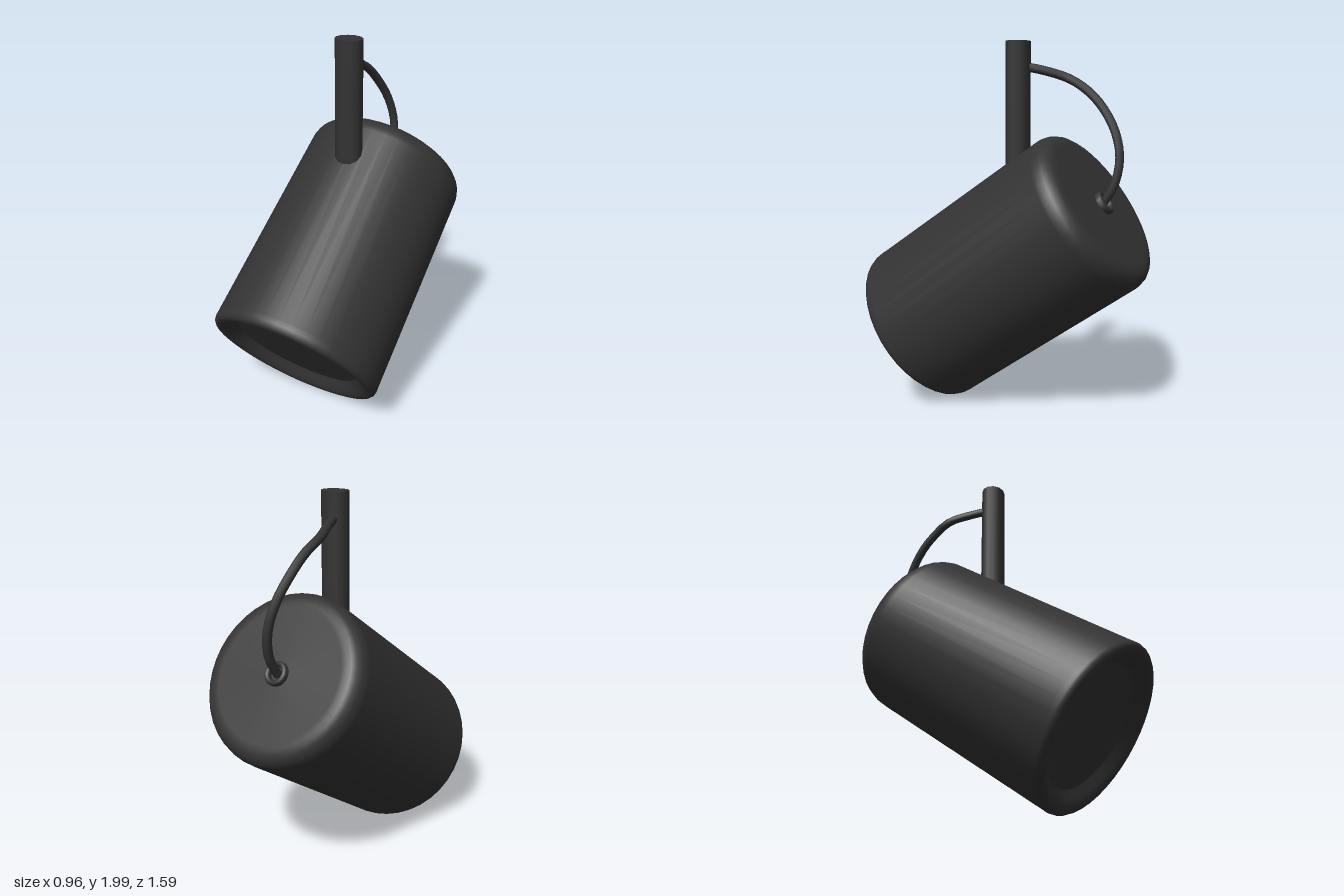
import * as THREE from 'three';

const material = new THREE.MeshStandardMaterial({ color: 0x333333 });

// Surface of revolution around local y from [radius, height] pairs
function lathe(name, profile, segments = 40) {
  const points = profile.map(([r, h]) => new THREE.Vector2(r, h));
  const mesh = new THREE.Mesh(new THREE.LatheGeometry(points, segments), material);
  mesh.name = name;
  return mesh;
}

export function createModel() {
  const model = new THREE.Group();
  model.name = 'spotlight';

  // Lamp head: built upright with its opening at the bottom, then tilted
  const head = new THREE.Group();
  head.name = 'lampHead';
  head.position.set(0, 0.387, 0.539);
  head.rotation.x = THREE.MathUtils.degToRad(-55);
  model.add(head);

  // Housing: dished lip, slightly tapered wall, rounded back
  head.add(lathe('housing', [
    [0.35, 0.06], [0.37, 0.045], [0.395, 0.022], [0.42, 0.006],
    [0.442, 0], [0.462, 0.005], [0.474, 0.018], [0.478, 0.035], [0.477, 0.06],
    [0.463, 1.24], [0.461, 1.265], [0.452, 1.295], [0.433, 1.32],
    [0.41, 1.334], [0.385, 1.34], [0.36, 1.341], [0, 1.341],
  ]));

  // Recessed lens, facing out of the opening
  const lens = new THREE.Mesh(new THREE.CircleGeometry(0.35, 40), material);
  lens.name = 'lens';
  lens.rotation.x = Math.PI / 2;
  lens.position.y = 0.06;
  head.add(lens);

  // Cable grommet in the middle of the back
  head.add(lathe('grommet', [
    [0.066, 1.335], [0.064, 1.362], [0.057, 1.371],
    [0.045, 1.371], [0.037, 1.362], [0.035, 1.335],
  ], 16));

  // Vertical hanging stem
  const stem = new THREE.Mesh(new THREE.CylinderGeometry(0.076, 0.076, 0.75, 12), material);
  stem.name = 'stem';
  stem.scale.z = 0.86;
  stem.position.set(0, 1.625, -0.069);
  model.add(stem);

  // Cable looping from the stem to the grommet
  const path = new THREE.CatmullRomCurve3([
    [-0.01, 1.87, -0.08], [-0.05, 1.845, -0.2], [-0.09, 1.805, -0.32],
    [-0.08, 1.75, -0.42], [-0.068, 1.67, -0.51], [-0.04, 1.54, -0.6],
    [-0.015, 1.4, -0.64], [0, 1.26, -0.62], [0, 1.15, -0.555],
  ].map((p) => new THREE.Vector3(...p)));
  const cable = new THREE.Mesh(new THREE.TubeGeometry(path, 24, 0.024, 8), material);
  cable.name = 'cable';
  model.add(cable);

  return model;
}
